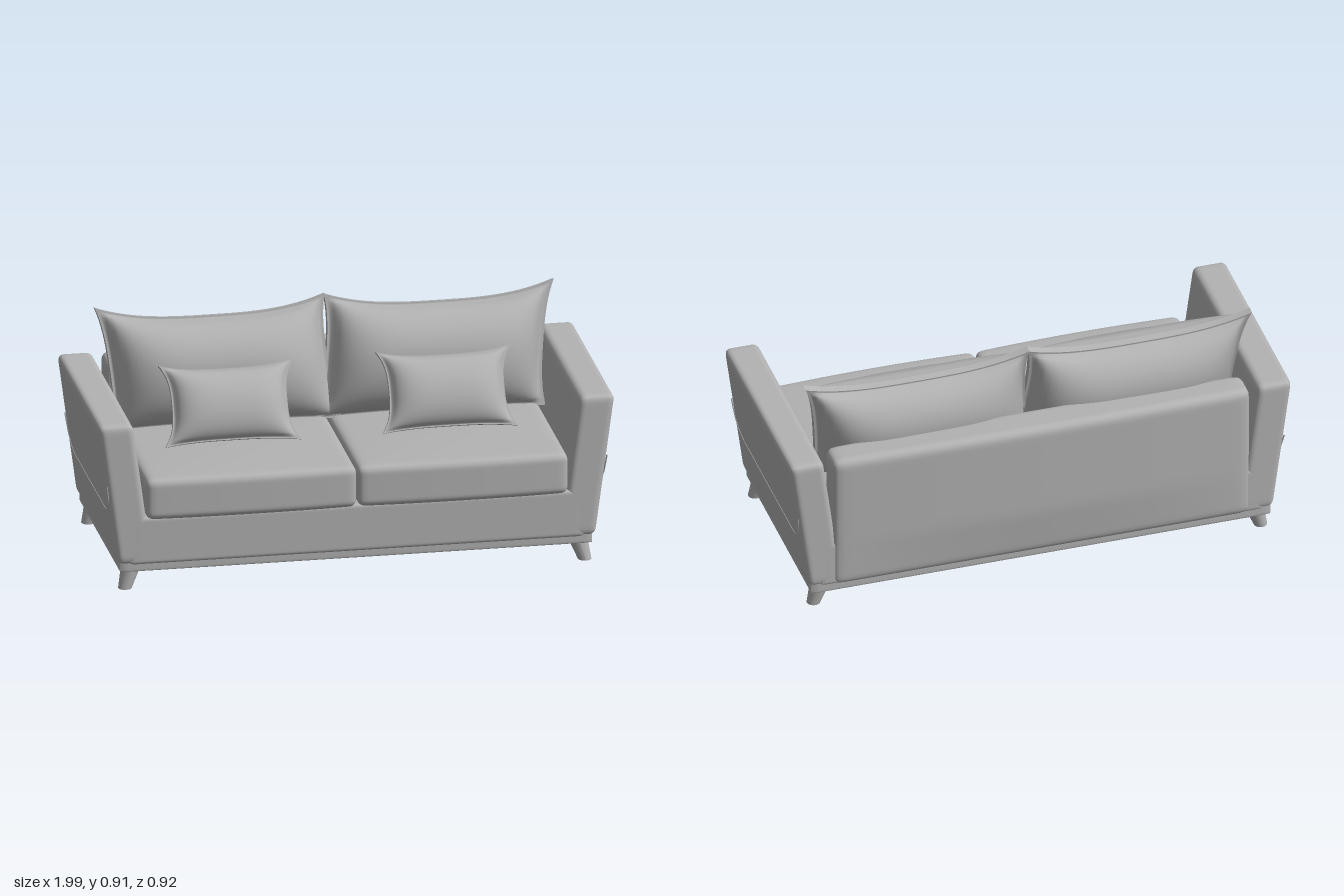
import * as THREE from 'three';
import { mergeVertices } from 'three/addons/utils/BufferGeometryUtils.js';

const fabric = new THREE.MeshStandardMaterial({ color: 0xb2b2b2 });
fabric.name = 'grey fabric';

// Move every vertex of a geometry by a rule
function warp(geo, rule) {
  const p = geo.attributes.position, v = new THREE.Vector3();
  for (let i = 0; i < p.count; i++) {
    rule(v.fromBufferAttribute(p, i));
    p.setXYZ(i, v.x, v.y, v.z);
  }
  return geo;
}

// Finely divided box with rounded edges, then bent by an optional rule
function softBox(w, h, d, r, rule = () => {}, n = 28) {
  let geo = new THREE.BoxGeometry(2, 2, 2, n, n, n);
  geo.deleteAttribute('normal');
  geo.deleteAttribute('uv');
  geo = mergeVertices(geo);
  const half = new THREE.Vector3(w, h, d).multiplyScalar(0.5);
  const max = half.clone().subScalar(r), min = max.clone().negate();
  const core = new THREE.Vector3();
  warp(geo, (v) => {
    // crowd the divisions toward the edges
    v.set(Math.sin(v.x * Math.PI / 2), Math.sin(v.y * Math.PI / 2), Math.sin(v.z * Math.PI / 2)).multiply(half);
    core.copy(v).clamp(min, max);
    v.sub(core).setLength(r).add(core);
    rule(v);
  });
  geo.computeVertexNormals();
  return geo;
}

// Stuffed pillow with a thin flange, pulled-out corners and a fold near the rim
function pillow({ w, h, t, sidePinch, topPinch, bottomPinch, edge, taper = 0, power = 0.55 }) {
  const geo = new THREE.BoxGeometry(2, 2, 2, 36, 30, 2);
  warp(geo, (v) => {
    const u = Math.sin(v.x * Math.PI / 2), k = Math.sin(v.y * Math.PI / 2);
    const a = Math.min(1, Math.abs(u) / 0.95), b = Math.min(1, Math.abs(k) / 0.95);
    const bulge = Math.pow(Math.max(0, 1 - a ** 4), 0.6) * Math.pow(Math.max(0, 1 - b * b), power);
    const pinch = k > 0 ? topPinch : bottomPinch;
    v.set(
      u * (w / 2 - sidePinch * (1 - Math.abs(k) ** 3)) - taper * (1 - k) / 2,
      k * (h / 2 - pinch * (1 - Math.abs(u) ** 3)),
      v.z * (edge + t * bulge)
    );
  });
  geo.computeVertexNormals();
  return geo;
}

export function createModel() {
  const model = new THREE.Group();
  model.name = 'sofa';
  const add = (name, geo, x = 0, y = 0, z = 0) => {
    const mesh = new THREE.Mesh(geo, fabric);
    mesh.name = name;
    mesh.position.set(x, y, z);
    model.add(mesh);
    return mesh;
  };

  // Base
  add('plinth', softBox(1.83, 0.06, 0.845, 0.008, undefined, 12), 0, 0.103, 0);
  add('baseFrame', softBox(1.76, 0.19, 0.865, 0.015), 0, 0.2, 0.004);

  // Backrest, bowed outward at the middle and drawn in toward the bottom
  add('backrest', softBox(1.66, 0.57, 0.13, 0.035, (v) => {
    const across = 1 - (v.x / 0.83) ** 2;
    if (v.z < 0) v.z -= 0.022 * across * Math.min(1, (v.y + 0.285) / 0.2);
    if (v.y > 0) v.y += 0.008 * across;
  }), 0, 0.385, -0.375);

  for (const s of [1, -1]) {
    const side = s > 0 ? 'left' : 'right';

    // Arm leaning outward
    add(side + 'Arm', softBox(0.135, 0.562, 0.865, 0.025, (v) => {
      v.x += s * v.y * 0.134;
    }), s * 0.895, 0.389, 0.004);

    // Curved seam on the outside of the arm
    const seam = [[0.432, 0.43], [0.41, 0.35], [0.35, 0.308], [0.2, 0.302], [0, 0.3],
      [-0.2, 0.302], [-0.33, 0.305], [-0.39, 0.345], [-0.422, 0.43]]
      .map(([z, y]) => new THREE.Vector3(s * (0.9625 + (y - 0.389) * 0.134), y, z));
    add(side + 'ArmSeam', new THREE.TubeGeometry(new THREE.CatmullRomCurve3(seam), 48, 0.003, 6));

    // Seat cushion with a crowned top
    add(side + 'SeatCushion', softBox(0.815, 0.165, 0.7, 0.03, (v) => {
      const cx = 1 - (v.x / 0.41) ** 2, cz = 1 - (v.z / 0.36) ** 2;
      if (v.y > 0) v.y += 0.014 * cx * cz;
      if (v.z > 0) v.z += 0.01 * cx;
    }), s * 0.409, 0.366, 0.1);

    // Large back cushion leaning on the backrest
    const back = add(side + 'BackCushion', pillow({
      w: 0.89, h: 0.48, t: 0.14, sidePinch: 0.025, topPinch: 0.055, bottomPinch: 0.01,
      edge: 0.014, taper: s * 0.05
    }), s * 0.443, 0.672, -0.2);
    back.rotation.x = -0.21;

    // Small throw cushion
    const small = add(side + 'ThrowCushion', pillow({
      w: 0.525, h: 0.315, t: 0.066, sidePinch: 0.04, topPinch: 0.025, bottomPinch: 0.015, edge: 0.009
    }), s * 0.42, 0.595, 0.045);
    small.rotation.x = -0.48;

    // Splayed tapered legs
    for (const f of [1, -1]) {
      const leg = new THREE.CylinderGeometry(0.038, 0.026, 0.085, 20);
      warp(leg, (v) => {
        v.x -= s * v.y * 0.3;
        v.z -= f * v.y * (f > 0 ? 0.15 : 0);
      });
      leg.computeVertexNormals();
      add(side + (f > 0 ? 'FrontLeg' : 'BackLeg'), leg, s * 0.877, 0.0425, f > 0 ? 0.38 : -0.367);
    }
  }
  return model;
}
